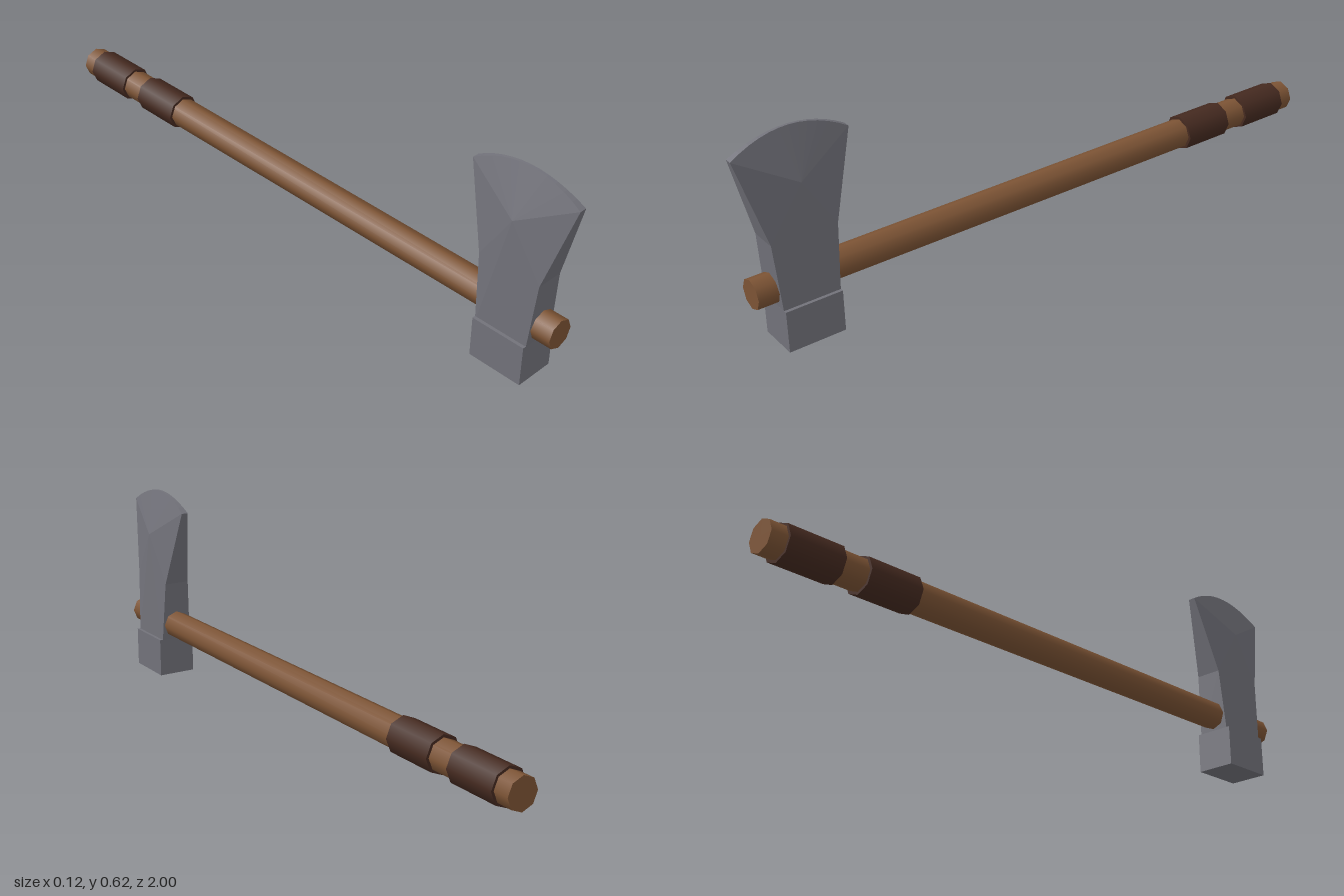
import * as THREE from 'three';

const mat = (name, color, extra = {}) => {
  const m = new THREE.MeshStandardMaterial({ color, ...extra });
  m.name = name;
  return m;
};

export function createModel() {
  const group = new THREE.Group();
  group.name = 'handAxe';
  const wood = mat('wood', 0x7d5435);
  const leather = mat('leather', 0x452a20);
  const steel = mat('steel', 0x72727a, { flatShading: true });
  const axisY = 0.175, headZ = 0.832;

  // Eight-sided rod along z, from the back to the front
  const rod = (name, material, back, front, rBack, rFront) => {
    const mesh = new THREE.Mesh(new THREE.CylinderGeometry(rFront, rBack, front - back, 8), material);
    mesh.name = name;
    mesh.rotation.x = Math.PI / 2;
    mesh.position.set(0, axisY, (front + back) / 2);
    group.add(mesh);
  };
  rod('handle', wood, -1, 0.98, 0.048, 0.044);
  rod('rearGrip', leather, -0.95, -0.78, 0.056, 0.056);
  rod('frontGrip', leather, -0.7, -0.53, 0.056, 0.056);

  // Square poll below the handle
  const poll = new THREE.Mesh(new THREE.BoxGeometry(0.124, 0.125, 0.17), steel);
  poll.name = 'poll';
  poll.position.set(0, 0.0625, headZ);
  group.add(poll);

  // Blade outline: half thickness, height, depth; widening to a curved edge
  const outline = [[0.052, 0.11, -0.084], [0.042, 0.32, -0.0975]];
  const steps = 12;
  for (let i = 0; i <= steps; i++) {
    const t = -1 + (2 * i) / steps;
    outline.push([0.004 + 0.007 * t * t, 0.62 - 0.051 * t * t, 0.167 * t]);
  }
  outline.push([0.042, 0.32, 0.0975], [0.052, 0.11, 0.084]);

  // Each cheek fans out from a raised point; a rim joins the two cheeks
  const apex = [0.049, 0.475, 0];
  const flip = ([x, y, z]) => [-x, y, z];
  const verts = [];
  const tri = (...points) => points.forEach((p) => verts.push(p[0], p[1], p[2] + headZ));
  outline.forEach((p, i) => {
    const q = outline[(i + 1) % outline.length];
    tri(apex, p, q);
    tri(flip(apex), flip(q), flip(p));
    tri(p, flip(p), flip(q));
    tri(p, flip(q), q);
  });
  const geometry = new THREE.BufferGeometry();
  geometry.setAttribute('position', new THREE.Float32BufferAttribute(verts, 3));
  geometry.computeVertexNormals();
  const blade = new THREE.Mesh(geometry, steel);
  blade.name = 'blade';
  group.add(blade);

  return group;
}
